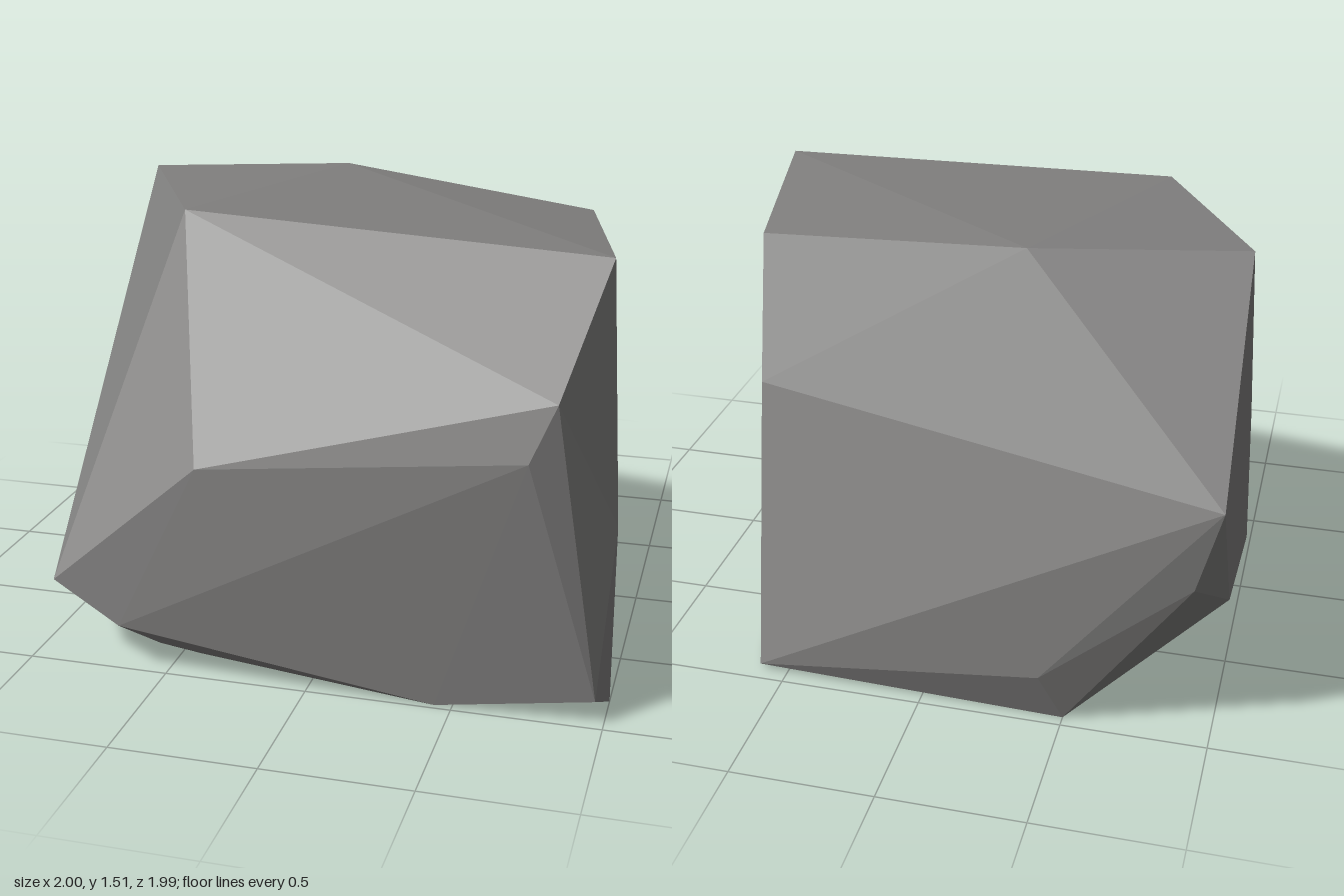
import * as THREE from 'three';
import { ConvexGeometry } from 'three/addons/geometries/ConvexGeometry.js';

// Corner points of the faceted boulder, grouped by region
const corners = {
  top: [[-0.98, 1.5, -0.3], [-0.25, 1.51, -0.48], [0.74, 1.41, -0.32], [0.92, 1.435, 0.5], [-0.6, 1.49, 0.4]],
  front: [[0.81, 1.06, 0.915], [0.73, 0.875, 0.97], [-0.4, 0.73, 0.92], [-0.925, 0.28, 0.945],
    [-0.67, 0.155, 0.99], [-0.54, 0.08, 0.937], [0.97, 0.08, 0.97]],
  sides: [[1, 0.63, 0.81], [0.68, 0.95, -0.57], [-1, 0.27, -0.51]],
  back: [[-1, 0.875, -0.955], [-0.92, 0.58, -0.957], [-0.42, 0.18, -1], [0.6, 0.02, -0.945]],
  base: [[1, 0, 0.81], [0.44, 0, 0.98], [-0.436, 0, 0.83], [-0.985, 0, 0.37], [-0.5, 0, -0.957], [0.63, 0, -0.81]],
};

export function createModel() {
  const stone = new THREE.MeshStandardMaterial({ color: 0x807f7e, flatShading: true });
  stone.name = 'stone grey';

  // The boulder is the convex skin around its corners
  const points = Object.values(corners).flat().map((p) => new THREE.Vector3(...p));
  const boulder = new THREE.Mesh(new ConvexGeometry(points), stone);
  boulder.name = 'boulder';

  const model = new THREE.Group();
  model.name = 'rock';
  model.add(boulder);
  return model;
}
